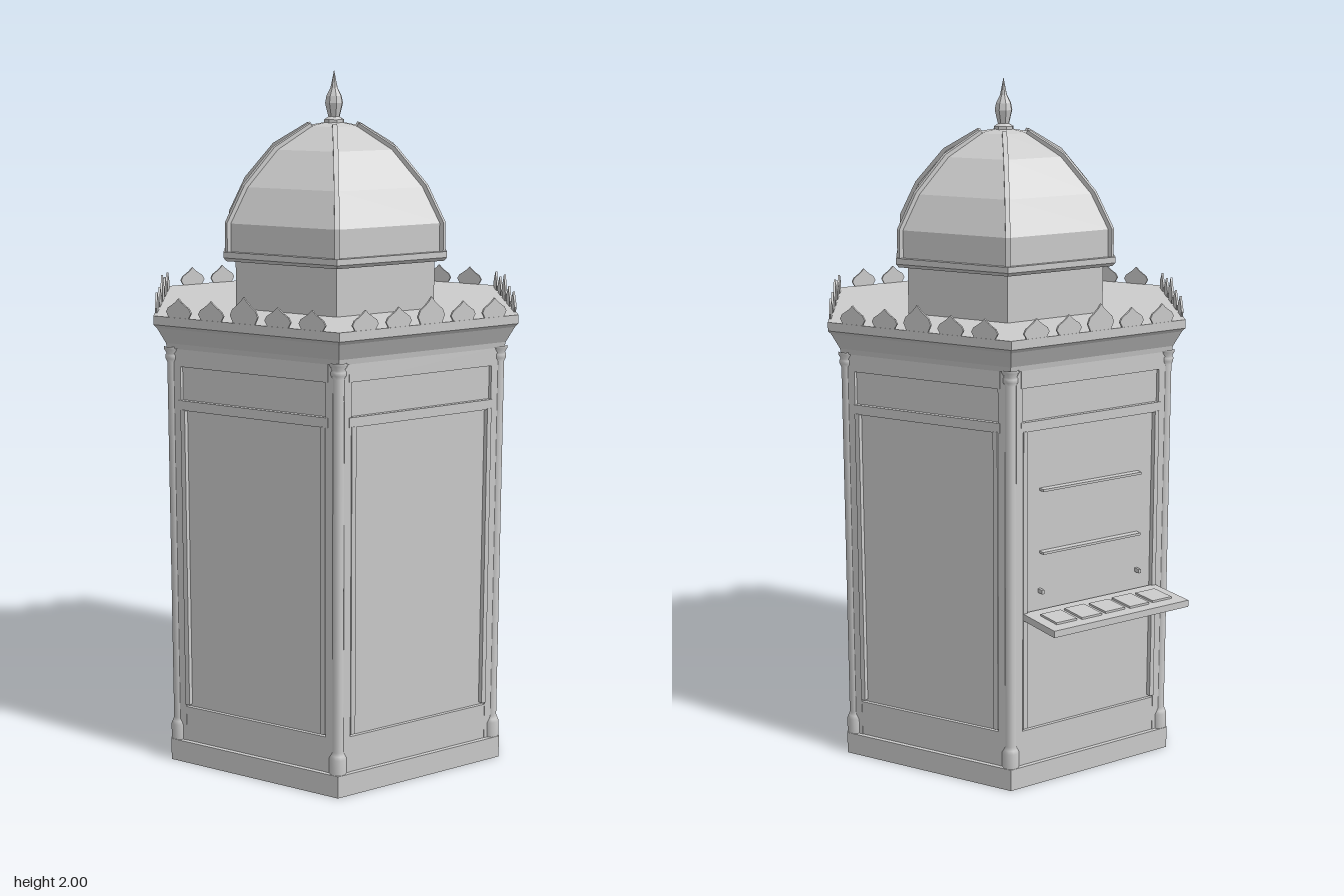
import * as THREE from 'three';

export function createModel() {
  const root = new THREE.Group();
  root.name = 'kiosk';
  const body = new THREE.Group();
  body.name = 'hexagonalBody';
  body.position.z = 0.06;
  root.add(body);

  const stone = new THREE.MeshStandardMaterial({ color: 0xcccccc });
  stone.name = 'pale grey';

  const add = (parent, geo, name, x = 0, y = 0, z = 0) => {
    const m = new THREE.Mesh(geo, stone);
    m.name = name;
    m.position.set(x, y, z);
    parent.add(m);
    return m;
  };
  const box = (parent, name, w, h, d, x, y, z) =>
    add(parent, new THREE.BoxGeometry(w, h, d), name, x, y, z);

  // Faceted solid of revolution; profile is [radius, y] from bottom to top
  const faceted = (name, profile, sides = 6) => {
    const pts = profile.map(([r, y]) => new THREE.Vector2(r, y));
    const geo = new THREE.LatheGeometry(pts, sides, Math.PI / 6).toNonIndexed();
    geo.computeVertexNormals();
    return add(body, geo, name);
  };

  // Main hexagonal stack
  faceted('plinth', [[0, 0], [0.56, 0], [0.56, 0.065], [0, 0.065]]);
  faceted('wallCore', [[0.533, 0.06], [0.533, 1.25]]);
  faceted('cornice', [[0, 1.235], [0.55, 1.235], [0.553, 1.25], [0.58, 1.295],
    [0.59, 1.305], [0.59, 1.33], [0, 1.33]]);
  faceted('drum', [[0.328, 1.33], [0.328, 1.475]]);
  faceted('domeLedge', [[0.32, 1.468], [0.358, 1.468], [0.367, 1.478], [0.367, 1.495], [0, 1.495]]);

  // Dome and its ribs
  const dome = [[0.35, 1.495], [0.35, 1.575], [0.294, 1.675], [0.196, 1.777], [0.083, 1.84], [0, 1.855]];
  faceted('dome', dome);
  const ribLine = dome.slice(0, 5);
  const ribShape = new THREE.Shape();
  ribLine.forEach(([r, y], i) => (i ? ribShape.lineTo(r - 0.012, y - 0.008) : ribShape.moveTo(r - 0.012, y)));
  [[0.084, 1.849], [0.202, 1.785], [0.301, 1.681], [0.358, 1.577], [0.358, 1.495]]
    .forEach(([r, y]) => ribShape.lineTo(r, y));
  const ribGeo = new THREE.ExtrudeGeometry(ribShape, { depth: 0.014, bevelEnabled: false });
  ribGeo.translate(0, 0, -0.007);

  // Pointed finial
  faceted('finial', [[0.03, 1.845], [0.03, 1.858], [0.017, 1.866], [0.022, 1.885], [0.027, 1.905],
    [0.023, 1.925], [0.011, 1.948], [0.006, 1.97], [0, 2]], 8);

  // Corner columns with base and capital
  const columnProfile = [[0.025, 0.065], [0.025, 0.11], [0.021, 0.12], [0.017, 0.13], [0.017, 1.195],
    [0.022, 1.205], [0.022, 1.215], [0.019, 1.22], [0.025, 1.232], [0.025, 1.24]];
  const columnGeo = new THREE.LatheGeometry(columnProfile.map(([r, y]) => new THREE.Vector2(r, y)), 10);

  // Leaf-shaped crest plate
  const leaf = (w, h) => {
    const s = new THREE.Shape();
    const right = [[0.38, 0], [0.5, 0.3], [0.42, 0.52], [0.25, 0.68], [0.12, 0.82]];
    s.moveTo(-right[0][0] * w, 0);
    right.forEach(([x, y]) => s.lineTo(x * w, y * h));
    s.lineTo(0, h);
    right.slice(1).reverse().forEach(([x, y]) => s.lineTo(-x * w, y * h));
    s.closePath();
    return new THREE.ExtrudeGeometry(s, { depth: 0.006, bevelEnabled: false });
  };
  const smallLeaf = leaf(0.082, 0.056);
  const tallLeaf = leaf(0.088, 0.076);

  for (let k = 0; k < 6; k++) {
    // One wall side, facing +z before it is turned
    const side = new THREE.Group();
    side.name = k === 3 ? 'servingSide' : 'wallSide';
    side.rotation.y = (k * Math.PI) / 3;
    body.add(side);

    const z = 0.464;
    box(side, 'bottomRail', 0.48, 0.105, 0.016, 0, 0.1175, z);
    box(side, 'middleRail', 0.48, 0.028, 0.022, 0, 1.074, z);
    box(side, 'topRail', 0.48, 0.05, 0.022, 0, 1.21, z);
    for (const s of [-1, 1]) {
      box(side, 'outerStile', 0.022, 1.17, 0.018, s * 0.244, 0.65, z);
      box(side, 'innerStile', 0.014, 0.885, 0.026, s * 0.226, 0.62, z);
    }

    // Crest along the cornice edge
    for (let i = -2; i <= 2; i++) {
      add(side, i ? smallLeaf : tallLeaf, 'crestLeaf', i * 0.106, 1.328, 0.504);
    }

    // Corner pieces
    const corner = new THREE.Group();
    corner.name = 'corner';
    corner.rotation.y = (k * Math.PI) / 3;
    body.add(corner);
    add(corner, columnGeo, 'column', 0.531, 0, 0);
    add(corner, ribGeo, 'domeRib');

    if (k === 3) {
      // Counter with laid-out papers and thin display rails
      box(side, 'counter', 0.466, 0.02, 0.165, 0, 0.52, 0.5525);
      for (let i = -2; i <= 2; i++) {
        box(side, 'paper', 0.068, 0.006, i % 2 ? 0.09 : 0.082, i * 0.083, 0.533, 0.556);
      }
      for (const y of [0.7, 0.885]) box(side, 'displayRail', 0.34, 0.007, 0.026, 0, y, 0.469);
      for (const s of [-1, 1]) box(side, 'counterBracket', 0.008, 0.012, 0.026, s * 0.17, 0.585, 0.469);
    }
  }
  return root;
}
